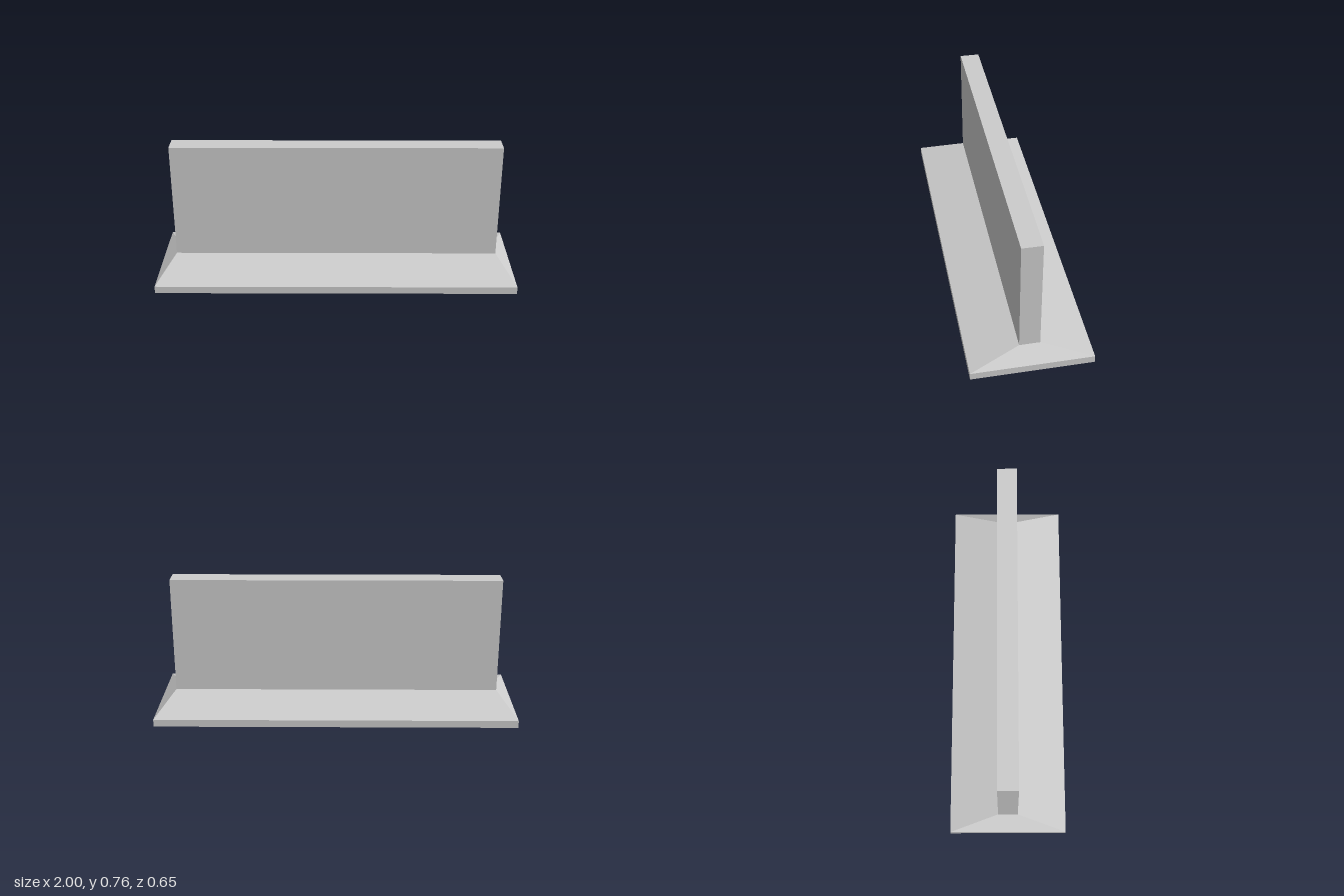
import * as THREE from 'three';

// Flat-faced skin through rectangular rings [halfX, y, halfZ], closed on top and open below
function ringShell(rings) {
  const corners = rings.map(([x, y, z]) => [[x, y, z], [x, y, -z], [-x, y, -z], [-x, y, z]]);
  const positions = [];
  const quad = (a, b, c, d) => positions.push(...a, ...b, ...c, ...a, ...c, ...d);
  for (let r = 0; r < corners.length - 1; r++) {
    const low = corners[r], high = corners[r + 1];
    for (let i = 0; i < 4; i++) {
      const j = (i + 1) % 4;
      quad(low[i], low[j], high[j], high[i]);
    }
  }
  quad(...corners[corners.length - 1]);
  const geometry = new THREE.BufferGeometry();
  geometry.setAttribute('position', new THREE.Float32BufferAttribute(positions, 3));
  geometry.computeVertexNormals();
  return geometry;
}

export function createModel() {
  const group = new THREE.Group();
  group.name = 'barrierWall';
  const material = new THREE.MeshStandardMaterial({ color: 0xcccccc, flatShading: true, side: THREE.DoubleSide });

  const wallX = 0.912, wallZ = 0.055, baseTop = 0.106, wallTop = 0.757;

  // Hollow footing: short vertical skirt, then a slope up to the wall
  const base = new THREE.Mesh(ringShell([
    [1, 0, 0.325],
    [1, 0.041, 0.325],
    [wallX, baseTop, wallZ],
  ]), material);
  base.name = 'slopedBase';

  // Upright slab
  const height = wallTop - baseTop;
  const wall = new THREE.Mesh(new THREE.BoxGeometry(wallX * 2, height, wallZ * 2), material);
  wall.position.y = baseTop + height / 2;
  wall.name = 'wallPanel';

  group.add(base, wall);
  return group;
}
